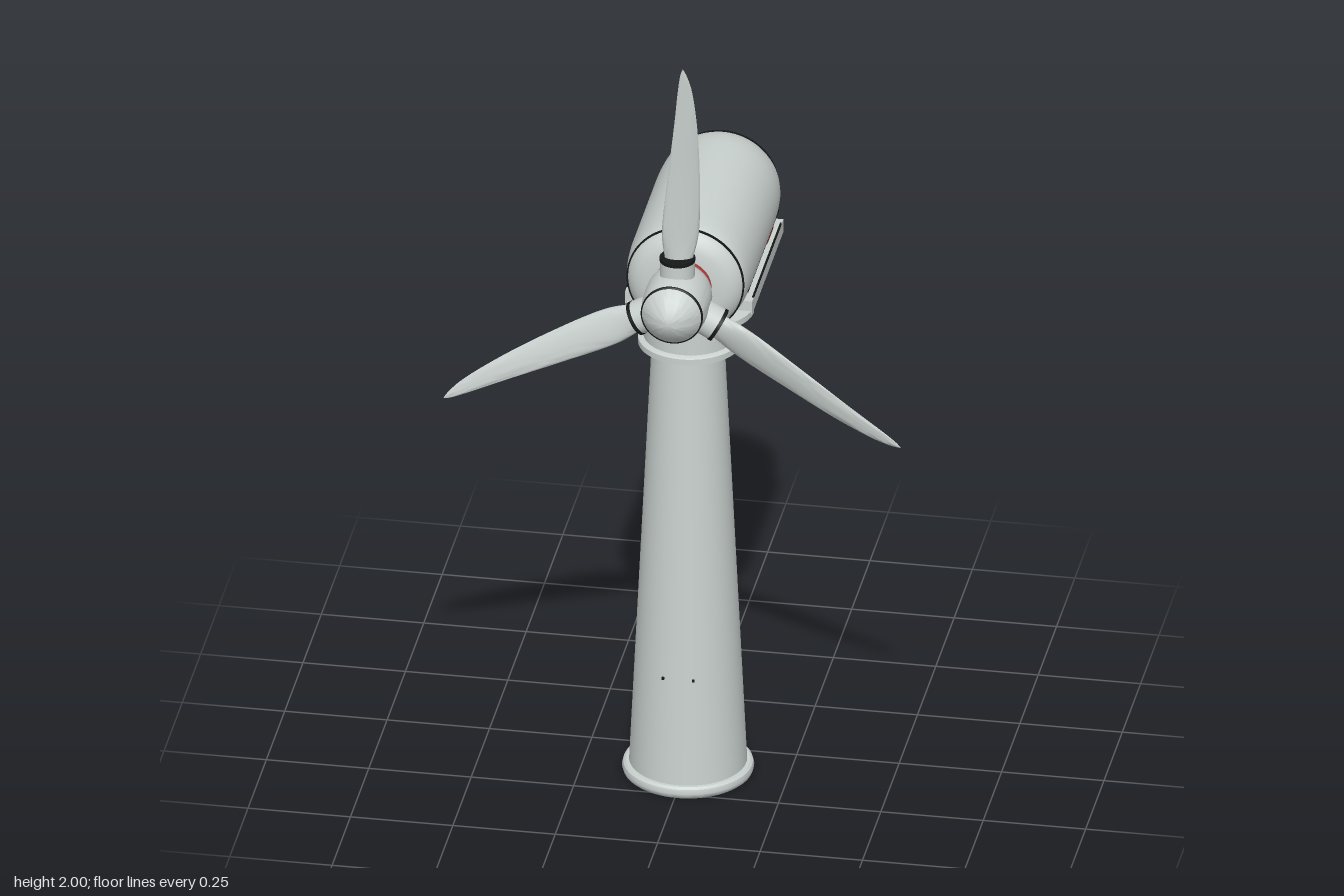
import * as THREE from 'three';
import { toCreasedNormals } from 'three/addons/utils/BufferGeometryUtils.js';

const CX = 0.006, HUB_Y = 1.356, TOWER_Z = 0.118, YAW_Z = 0.088;
const FLOOR_Y = 1.24; // flat underside of the nacelle

const material = (name, color) => {
  const m = new THREE.MeshStandardMaterial({ color });
  m.name = name;
  return m;
};

export function createModel() {
  const grey = material('pale grey', 0xc9d1ce);
  const black = material('black', 0x161818);
  const red = material('red', 0xa8322e);

  const model = new THREE.Group();
  model.name = 'windTurbine';

  const add = (parent, name, geometry, mat, x = 0, y = 0, z = 0) => {
    const mesh = new THREE.Mesh(geometry, mat);
    mesh.name = name;
    mesh.position.set(x, y, z);
    parent.add(mesh);
    return mesh;
  };
  const lathe = (points, segments = 64) =>
    new THREE.LatheGeometry(points.map(([r, h]) => new THREE.Vector2(r, h)), segments);
  const smooth = (geometry, angle = 0.6) => toCreasedNormals(geometry, angle);
  // Turned along z
  const turned = (points) => lathe(points).rotateX(Math.PI / 2);
  const bandProfile = (r, z0, z1) => [[r - 0.01, z0], [r, z0], [r, z1], [r - 0.01, z1]];

  // Tower
  const tower = new THREE.Group();
  tower.name = 'tower';
  tower.position.set(CX, 0, TOWER_Z);
  model.add(tower);
  add(tower, 'baseFlange', smooth(lathe([
    [0, 0], [0.15, 0], [0.156, 0.005], [0.159, 0.015], [0.156, 0.026], [0.15, 0.031], [0.13, 0.031],
  ])), grey);
  add(tower, 'towerShaft', new THREE.CylinderGeometry(0.088, 0.142, 1.13, 64), grey, 0, 0.595);
  for (const side of [-1, 1]) {
    add(tower, 'towerBolt', new THREE.BoxGeometry(0.006, 0.006, 0.012), black, side * 0.037 - 0.002, 0.31, 0.122);
  }

  // Yaw bearing under the nacelle
  add(model, 'yawBearing', smooth(lathe([
    [0, 1.15], [0.12, 1.15], [0.126, 1.153], [0.126, 1.168], [0.12, 1.172],
    [0.113, 1.173], [0.113, 1.25], [0, 1.25],
  ])), grey, CX, 0, YAW_Z);

  // Nacelle shell, turned along z and cut flat below
  const nacelle = new THREE.Group();
  nacelle.name = 'nacelle';
  nacelle.position.x = CX;
  model.add(nacelle);
  const flatBottom = (points) => {
    const g = turned(points).translate(0, 1.352, 0);
    const p = g.attributes.position;
    for (let i = 0; i < p.count; i++) p.setY(i, Math.max(p.getY(i), FLOOR_Y));
    return smooth(g, 0.5);
  };
  add(nacelle, 'nacelleShell', flatBottom([
    [0, -0.397], [0.04, -0.396], [0.075, -0.391], [0.107, -0.38], [0.132, -0.363],
    [0.141, -0.345], [0.147, -0.32], [0.15, -0.285], [0.151, -0.25], [0.151, 0.08],
    [0.149, 0.115], [0.146, 0.138], [0.141, 0.155], [0.132, 0.168], [0.118, 0.179],
    [0.1, 0.186], [0.07, 0.19], [0, 0.19],
  ]), grey);
  add(nacelle, 'rearSeam', flatBottom(bandProfile(0.135, -0.366, -0.361)), black);
  add(nacelle, 'frontSeam', flatBottom(bandProfile(0.1435, 0.152, 0.157)), black);

  // Side rails, grooves and marker plates
  for (const side of [-1, 1]) {
    add(nacelle, 'sideRail', new THREE.BoxGeometry(0.05, 0.035, 0.425), grey, side * 0.13, 1.268, -0.1025);
    add(nacelle, 'railGap', new THREE.BoxGeometry(0.004, 0.005, 0.38), black, side * 0.1535, 1.287, -0.1);
    add(nacelle, 'sideGroove', new THREE.BoxGeometry(0.006, 0.004, 0.42), black, side * 0.1425, 1.312, -0.1);
  }
  add(nacelle, 'redMarker', new THREE.BoxGeometry(0.006, 0.008, 0.08), red, 0.141, 1.303, -0.2);

  // Rounded apron joining the rails around the front of the bearing
  const apronShape = new THREE.Shape();
  apronShape.moveTo(0.155, 0);
  apronShape.absellipse(0, 0, 0.155, 0.14, 0, Math.PI, false, 0);
  apronShape.closePath();
  const apron = new THREE.ExtrudeGeometry(apronShape, { depth: 0.016, bevelEnabled: false, curveSegments: 32 });
  add(nacelle, 'frontApron', apron.rotateX(Math.PI / 2), grey, 0, 1.259, 0.085);
  add(nacelle, 'apronSeal', new THREE.CylinderGeometry(0.11, 0.11, 0.012, 48), black, 0, 1.264, 0.1);

  // Rotor hub
  const rotor = new THREE.Group();
  rotor.name = 'rotor';
  rotor.position.set(CX, HUB_Y, 0);
  model.add(rotor);
  add(rotor, 'shaftRing', turned([[0.07, 0.18], [0.071, 0.203], [0, 0.203]]), red);
  add(rotor, 'hub', smooth(turned([
    [0, 0.2], [0.066, 0.2], [0.074, 0.21], [0.079, 0.23], [0.081, 0.265], [0.08, 0.3],
    [0.077, 0.325], [0.073, 0.34], [0, 0.34],
  ])), grey);
  add(rotor, 'noseSeam', turned(bandProfile(0.0755, 0.337, 0.344)), black);
  add(rotor, 'noseCone', smooth(turned([
    [0.073, 0.343], [0.064, 0.356], [0.051, 0.37], [0.036, 0.382], [0.018, 0.392], [0, 0.396],
  ])), grey);

  // Blade outline: [left edge, radius, right edge] and [centre z, half thickness, twist]
  const outline = new THREE.CatmullRomCurve3([
    [-0.03, 0.112, 0.036], [-0.036, 0.18, 0.05], [-0.021, 0.34, 0.054], [-0.004, 0.49, 0.049],
    [0.006, 0.59, 0.037], [0.012, 0.63, 0.025], [0.017, 0.644, 0.018],
  ].map((p) => new THREE.Vector3(...p)));
  const section = new THREE.CatmullRomCurve3([
    [0.262, 0.018, 0.004], [0.264, 0.014, 0.011], [0.27, 0.009, 0.01], [0.279, 0.005, 0.006],
    [0.285, 0.003, 0.003], [0.288, 0.002, 0.001], [0.289, 0.001, 0],
  ].map((p) => new THREE.Vector3(...p)));
  const bladeGeometry = () => {
    const g = new THREE.CylinderGeometry(1, 1, 1, 24, 30);
    const p = g.attributes.position;
    for (let i = 0; i < p.count; i++) {
      const u = THREE.MathUtils.clamp(p.getY(i) + 0.5, 0, 1), x = p.getX(i), z = p.getZ(i);
      const o = outline.getPoint(u), s = section.getPoint(u);
      p.setXYZ(i, THREE.MathUtils.lerp(o.x, o.z, (x + 1) / 2), o.y, s.x + z * s.y - x * s.z);
    }
    return smooth(g, 0.9);
  };

  // Three blades with their root sleeves
  const blade = bladeGeometry();
  for (let i = 0; i < 3; i++) {
    const arm = new THREE.Group();
    arm.name = 'bladeAssembly';
    arm.rotation.z = -i * Math.PI * 2 / 3;
    rotor.add(arm);
    add(arm, 'rootSleeve', new THREE.CylinderGeometry(0.042, 0.042, 0.06, 32), grey, 0, 0.08, 0.264);
    add(arm, 'rootSeal', new THREE.CylinderGeometry(0.043, 0.043, 0.009, 32), black, 0, 0.114, 0.264);
    add(arm, 'blade', blade, grey);
  }
  return model;
}
